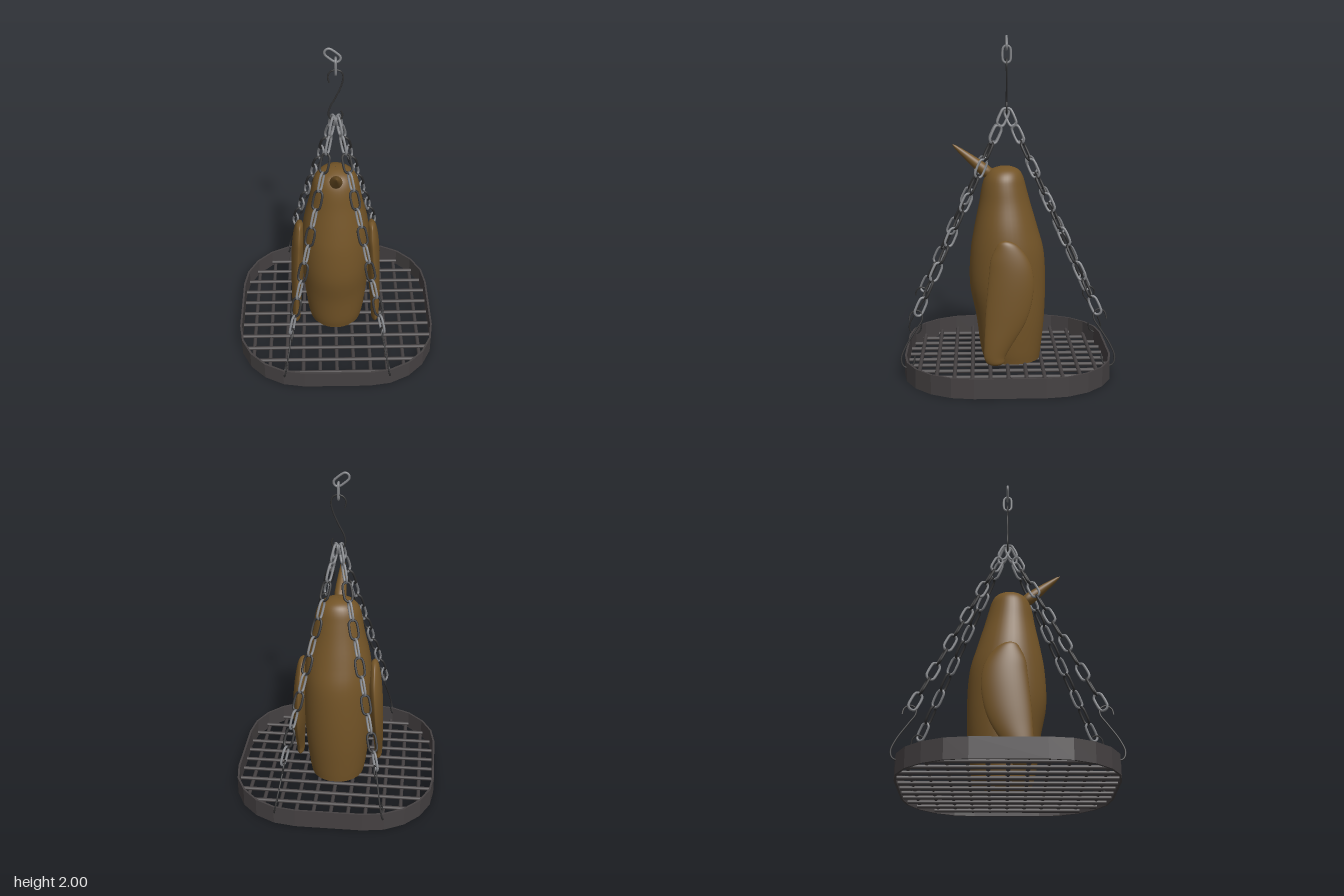
import * as THREE from 'three';

const material = (name, color) => Object.assign(new THREE.MeshStandardMaterial({ color }), { name });
const V = (x, y, z) => new THREE.Vector3(x, y, z);

// Smooth closed body from rows of [y, centre x, centre z, radius x, radius z];
// a higher edge value pinches the section into a lens with edges at front and back
function loft(rows, edge = 0, steps = 4, sides = 40) {
  const mid = new THREE.CatmullRomCurve3(rows.map(r => V(r[1], r[0], r[2])), false, 'catmullrom');
  const rad = new THREE.CatmullRomCurve3(rows.map(r => V(r[3], r[4], 0)), false, 'catmullrom');
  const n = (rows.length - 1) * steps;
  const rings = [];
  for (let i = 0; i <= n; i++) rings.push([mid.getPoint(i / n), rad.getPoint(i / n)]);
  // Flat bottom cap with a sharp edge
  rings.unshift([rings[0][0], V(0.0005, 0.0005, 0)], rings[0]);
  const pos = [], index = [];
  rings.forEach(([c, r], i) => {
    for (let j = 0; j < sides; j++) {
      const a = j / sides * Math.PI * 2, x = Math.cos(a);
      pos.push(c.x + r.x * x * Math.abs(x) ** edge, c.y, c.z + r.y * Math.sin(a));
      if (i === rings.length - 1 || i === 1) continue;
      const k = (j + 1) % sides, p = i * sides, q = p + sides;
      index.push(p + j, q + j, p + k, q + j, q + k, p + k);
    }
  });
  const g = new THREE.BufferGeometry();
  g.setAttribute('position', new THREE.Float32BufferAttribute(pos, 3));
  g.setIndex(index);
  g.computeVertexNormals();
  return g;
}

// Rounded square outline with faceted corners
function outline(halfX, halfZ, Type) {
  const inner = 0.2, pts = [];
  for (let q = 0; q < 4; q++) {
    const cx = q === 0 || q === 3 ? inner : -inner, cy = q < 2 ? inner : -inner;
    for (let i = 0; i <= 5; i++) {
      const a = (q + i / 5) * Math.PI / 2;
      pts.push(new THREE.Vector2(
        cx + (halfX - inner) * Math.cos(a), cy + (halfZ - inner) * Math.sin(a)));
    }
  }
  return new Type(pts);
}

// Oval chain link in the XY plane, long axis along Y
function linkGeometry(length, width, wire) {
  const pts = [], r = width / 2, s = length / 2 - r;
  for (let i = 0; i <= 6; i++) pts.push(V(r * Math.cos(i * Math.PI / 6), s + r * Math.sin(i * Math.PI / 6), 0));
  for (let i = 0; i <= 6; i++) pts.push(V(-r * Math.cos(i * Math.PI / 6), -s - r * Math.sin(i * Math.PI / 6), 0));
  return new THREE.TubeGeometry(new THREE.CatmullRomCurve3(pts, true), 32, wire, 8, true);
}

export function createModel() {
  const model = new THREE.Group();
  const brown = material('carved brown', 0x735427);
  const iron = material('tray iron', 0x454142);
  const steel = material('light chain steel', 0x828488);
  const black = material('dark chain and hook steel', 0x303031);

  const add = (name, geometry, mat, parent = model) => {
    const mesh = new THREE.Mesh(geometry, mat);
    mesh.name = name;
    parent.add(mesh);
    return mesh;
  };

  // Tray rim
  const shape = outline(0.619, 0.614, THREE.Shape);
  shape.holes.push(outline(0.607, 0.602, THREE.Path));
  const rim = new THREE.ExtrudeGeometry(shape, { depth: 0.115, bevelEnabled: false });
  add('trayRim', rim.rotateX(-Math.PI / 2), iron);

  // Tray grid of crossing rods
  const grid = new THREE.Group();
  grid.name = 'trayGrid';
  model.add(grid);
  for (let i = -5; i <= 5; i++) {
    const o = i * 0.105, over = Math.max(0, Math.abs(o) - 0.2);
    const length = 2 * (0.2 + Math.sqrt(0.405 ** 2 - over ** 2));
    const rod = new THREE.CylinderGeometry(0.012, 0.012, length, 10);
    add('crossRod', rod.clone().rotateZ(Math.PI / 2), iron, grid).position.set(0, 0.03, o);
    add('lengthRod', rod.rotateX(Math.PI / 2), iron, grid).position.set(o, 0.014, 0);
  }

  // Bird body
  add('body', loft([
    [0.035, 0, -0.03, 0.165, 0.172], [0.115, 0, -0.025, 0.18, 0.187], [0.3, 0, -0.022, 0.2, 0.208],
    [0.5, 0, -0.006, 0.212, 0.23], [0.7, 0, -0.003, 0.211, 0.223], [0.85, 0, 0.005, 0.195, 0.192],
    [1.0, 0, 0.012, 0.16, 0.155], [1.1, 0, 0.017, 0.142, 0.133], [1.16, 0, 0.016, 0.125, 0.115],
    [1.2, 0, 0.013, 0.09, 0.088], [1.221, 0, 0.01, 0.04, 0.04], [1.225, 0, 0.01, 0.001, 0.001],
  ]), brown);

  // Wings
  for (const s of [1, -1]) {
    add(s > 0 ? 'leftWing' : 'rightWing', loft([
      [0.065, 0.255, 0.075, 0.012, 0.03], [0.08, 0.255, 0.075, 0.022, 0.052], [0.12, 0.255, 0.078, 0.025, 0.063],
      [0.2, 0.254, 0.055, 0.029, 0.085], [0.3, 0.25, 0.022, 0.034, 0.113], [0.4, 0.245, 0, 0.039, 0.13],
      [0.52, 0.239, -0.015, 0.042, 0.135], [0.62, 0.233, -0.018, 0.042, 0.128], [0.7, 0.228, -0.01, 0.038, 0.11],
      [0.77, 0.225, 0, 0.028, 0.07], [0.8, 0.223, 0.01, 0.018, 0.04], [0.812, 0.222, 0.015, 0.001, 0.001],
    ].map(r => [r[0], s * r[1], ...r.slice(2)]), 0.4), brown);
  }

  // Upturned beak, pointing forward
  const beak = add('beak', new THREE.LatheGeometry([
    [0, -0.02], [0.022, -0.014], [0.035, 0.005], [0.037, 0.035], [0.033, 0.085],
    [0.025, 0.155], [0.017, 0.215], [0.009, 0.262], [0.0005, 0.282],
  ].map(p => new THREE.Vector2(...p)), 28), brown);
  beak.position.set(0, 1.178, 0.106);
  beak.quaternion.setFromUnitVectors(V(0, 1, 0), V(0, 0.177, 0.219).normalize());

  // Four chains of alternating light and dark links, each ending in a hook through the rim
  const pitch = 0.0986;
  const link = linkGeometry(0.113, 0.05, 0.0075);
  for (const sx of [1, -1]) for (const sz of [1, -1]) {
    const chain = new THREE.Group();
    chain.name = (sz > 0 ? 'front' : 'back') + (sx > 0 ? 'Left' : 'Right') + 'Chain';
    model.add(chain);
    const dir = V(-0.226 * sx, 1, -0.45 * sz).normalize();
    const across = V(1, 0, 0).cross(dir).applyAxisAngle(dir, 0.4 * sx * sz).normalize();
    const along = dir.clone().cross(across).normalize();
    for (let i = 0; i < 12; i++) {
      const light = i % 2 === 0 || i === 11;
      const side = light ? across : along;
      const m = add('chainLink', link, light ? steel : black, chain);
      m.quaternion.setFromRotationMatrix(
        new THREE.Matrix4().makeBasis(side, dir, side.clone().cross(dir)));
      m.position.set(sx * (0.265 - 0.226 * pitch * i), 0.43 + pitch * i, sz * (0.51 - 0.45 * pitch * i));
    }
    const path = [[0.578, 0.352], [0.57, 0.388], [0.54, 0.408], [0.508, 0.393], [0.503, 0.355], [0.54, 0.295],
      [0.6, 0.2], [0.625, 0.13], [0.612, 0.09], [0.585, 0.08], [0.555, 0.1], [0.545, 0.15]]
      .map(([z, y]) => V(sx * (0.265 + (0.39 - y) * 0.19), y, sz * z));
    add('rimHook', new THREE.TubeGeometry(new THREE.CatmullRomCurve3(path), 48, 0.005, 8), black, chain);
  }

  // Main hook above the chains
  const hook = [[-0.036, 1.785], [-0.043, 1.825], [-0.027, 1.853], [0, 1.862], [0.03, 1.852], [0.042, 1.82],
    [0.03, 1.76], [0, 1.69], [-0.034, 1.62], [-0.04, 1.575], [-0.025, 1.547], [0, 1.54], [0.03, 1.55],
    [0.04, 1.58], [0.03, 1.605]].map(([x, y]) => V(x, y, 0));
  add('mainHook', new THREE.TubeGeometry(new THREE.CatmullRomCurve3(hook), 64, 0.005, 8), black);

  // Hanging links at the top
  const topLink = linkGeometry(0.1, 0.048, 0.007);
  const upright = add('uprightLink', topLink, steel);
  upright.position.set(0, 1.885, 0);
  upright.rotation.y = Math.PI / 2;
  const tilted = add('tiltedLink', topLink, steel);
  tilted.position.set(-0.017, 1.951, 0);
  tilted.rotation.z = 0.9;
  return model;
}
